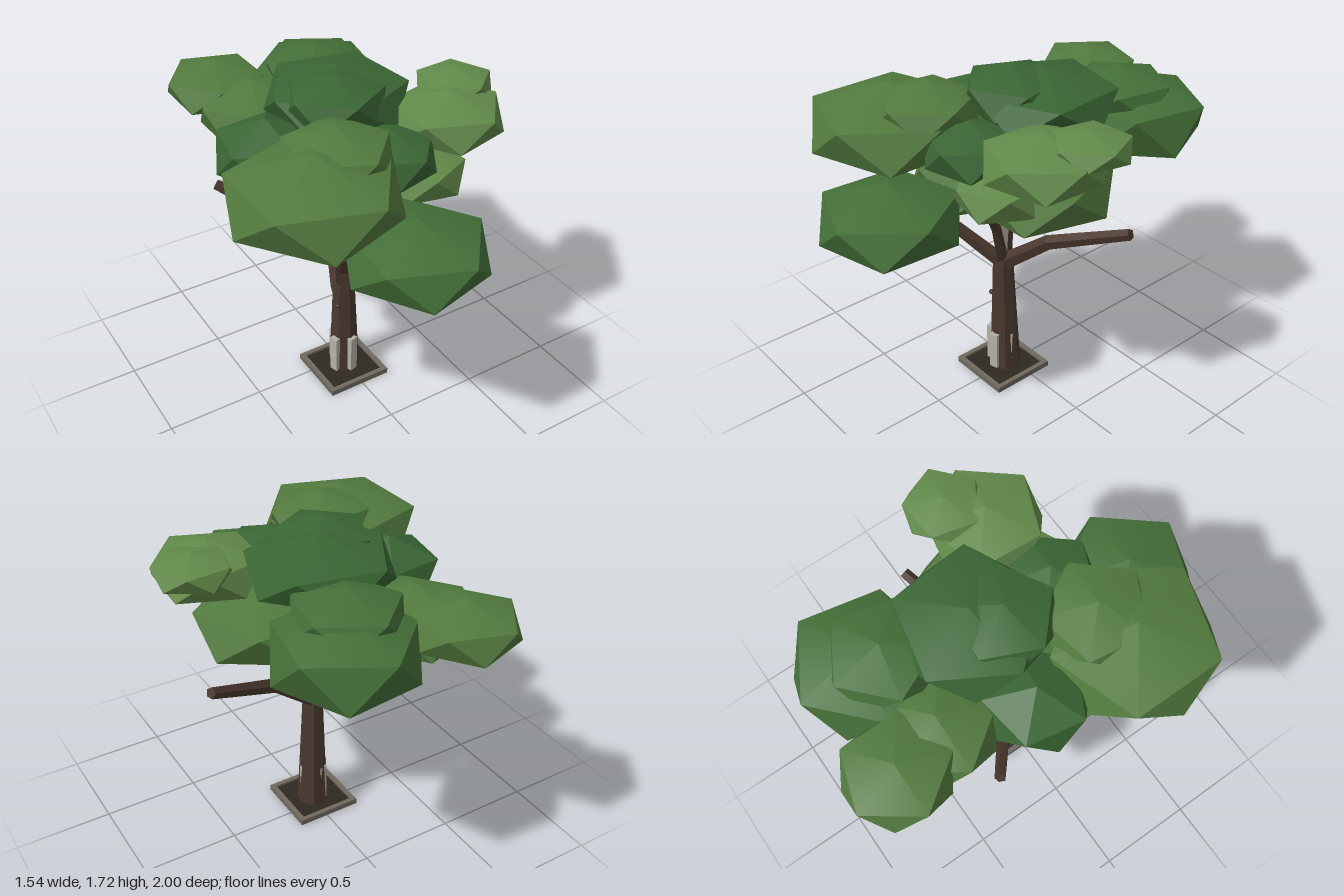
import * as THREE from 'three';
import { toCreasedNormals } from 'three/addons/utils/BufferGeometryUtils.js';

const flat = (color) => new THREE.MeshStandardMaterial({ color, flatShading: true });
const leafy = (color) => new THREE.MeshStandardMaterial({ color });

export function createModel() {
  const tree = new THREE.Group();
  const bark = flat(0x4a382e), stone = flat(0x6f695e), soil = flat(0x2f2822), pale = flat(0xb4b2a8);
  const greens = { dark: leafy(0x3a6634), mid: leafy(0x446f38), light: leafy(0x527a3e), pale: leafy(0x628a4a) };

  const add = (name, geometry, material, parent = tree) => {
    const mesh = new THREE.Mesh(geometry, material);
    mesh.name = name;
    parent.add(mesh);
    return mesh;
  };

  // Square planting bed: four kerbs around soil, with a stone footing below
  const bed = new THREE.Group();
  bed.name = 'plantingBed';
  bed.position.set(-0.015, 0, 0.055);
  tree.add(bed);
  for (let i = 0; i < 4; i++) {
    const a = i * Math.PI / 2;
    const kerb = add('kerb', new THREE.BoxGeometry(0.344, 0.03, 0.025), stone, bed);
    kerb.position.set(Math.sin(a) * 0.1595, 0.015, Math.cos(a) * 0.1595);
    kerb.rotation.y = a;
  }
  add('soil', new THREE.BoxGeometry(0.32, 0.014, 0.32), soil, bed).position.y = 0.01;
  add('footing', new THREE.BoxGeometry(0.11, 0.006, 0.11), stone, bed).position.y = 0.003;

  // Pale boards protecting the foot of the trunk
  for (let i = 0; i < 4; i++) {
    const a = 0.28 + i * Math.PI / 2;
    const board = add('trunkGuard', new THREE.BoxGeometry(0.045, 0.21, 0.028), pale);
    board.position.set(-0.019 + Math.sin(a) * 0.064, 0.135, 0.06 + Math.cos(a) * 0.064);
    board.rotation.y = a;
  }

  // Tapered limb between two points
  const up = new THREE.Vector3(0, 1, 0);
  const limb = (name, from, to, r0, r1, sides) => {
    const dir = to.clone().sub(from);
    const mesh = add(name, new THREE.CylinderGeometry(r1, r0, dir.length(), sides), bark);
    mesh.position.copy(from).addScaledVector(dir, 0.5);
    mesh.quaternion.setFromUnitVectors(up, dir.normalize());
  };
  limb('trunk', new THREE.Vector3(-0.006, 0.01, 0.045), new THREE.Vector3(-0.013, 0.69, 0.052), 0.082, 0.052, 7);

  // Small knots on the bark
  for (const [x, y, z] of [[-0.068, 0.46, 0.085], [0.055, 0.08, 0.05]]) {
    add('knot', new THREE.IcosahedronGeometry(0.015, 0), bark).position.set(x, y, z);
  }

  // Branches: elbow, tip, thickness
  const branches = [
    [[0.25, 0.875, -0.02], [0.645, 1.05, -0.155], 1.1],
    [[-0.17, 0.86, 0.22], [-0.35, 0.99, 0.53], 0.95],
    [[-0.19, 0.89, -0.13], [-0.49, 1.09, -0.37], 1.05],
    [[0.075, 0.95, 0.17], [0.19, 1.17, 0.32], 0.75],
  ];
  for (const [elbow, tip, k] of branches) {
    const e = new THREE.Vector3(...elbow);
    limb('lowerBranch', new THREE.Vector3(-0.01, 0.66, 0.055), e, 0.042 * k, 0.034 * k, 5);
    limb('upperBranch', e, new THREE.Vector3(...tip), 0.034 * k, 0.026 * k, 5);
    add('branchJoint', new THREE.IcosahedronGeometry(0.034 * k, 0), bark).position.copy(e);
  }

  // Flattened leaf clusters: x, y, z, radius, half height, yaw, green
  const clusters = [
    [-0.035, 1.155, 0.69, 0.325, 0.18, 0.56, 'mid'],
    [-0.385, 1.42, 0.42, 0.388, 0.205, 0.63, 'light'],
    [-0.22, 1.52, 0.33, 0.25, 0.14, 0.5, 'light'],
    [0.455, 1.47, 0.215, 0.27, 0.14, 0.56, 'pale'],
    [0.59, 1.55, 0.08, 0.185, 0.085, 0.4, 'pale'],
    [-0.02, 1.575, -0.02, 0.24, 0.14, 0.2, 'dark'],
    [0.06, 1.53, -0.14, 0.345, 0.16, 0.1, 'dark'],
    [0.225, 1.37, -0.605, 0.33, 0.22, -0.2, 'mid'],
    [0.17, 1.495, -0.53, 0.25, 0.135, -0.2, 'mid'],
    [-0.28, 1.42, -0.755, 0.25, 0.13, 0, 'light'],
    [-0.2, 1.36, -0.5, 0.27, 0.17, 0, 'light'],
    [-0.35, 1.38, -0.08, 0.24, 0.17, 0.45, 'dark'],
    [-0.17, 1.14, 0.05, 0.35, 0.19, 0.2, 'light'],
    [0.24, 1.215, 0.05, 0.35, 0.18, 0.35, 'light'],
    [0.25, 1.27, 0.28, 0.22, 0.13, 0.1, 'pale'],
    [0.07, 1.41, 0.3, 0.22, 0.14, 0.55, 'dark'],
  ];
  const canopy = new THREE.Group();
  canopy.name = 'canopy';
  tree.add(canopy);
  // Each is an icosahedron standing on a corner; its rings sit at 0.894 of the radius
  for (const [x, y, z, r, h, yaw, green] of clusters) {
    const leaf = new THREE.IcosahedronGeometry(1, 0);
    leaf.rotateZ(Math.atan(2 / (1 + Math.sqrt(5))));
    leaf.scale(r / 0.894, h, r / 0.894);
    const mesh = add('leafCluster', toCreasedNormals(leaf, 0.5), greens[green], canopy);
    mesh.position.set(x, y, z);
    mesh.rotation.y = yaw;
  }
  return tree;
}
